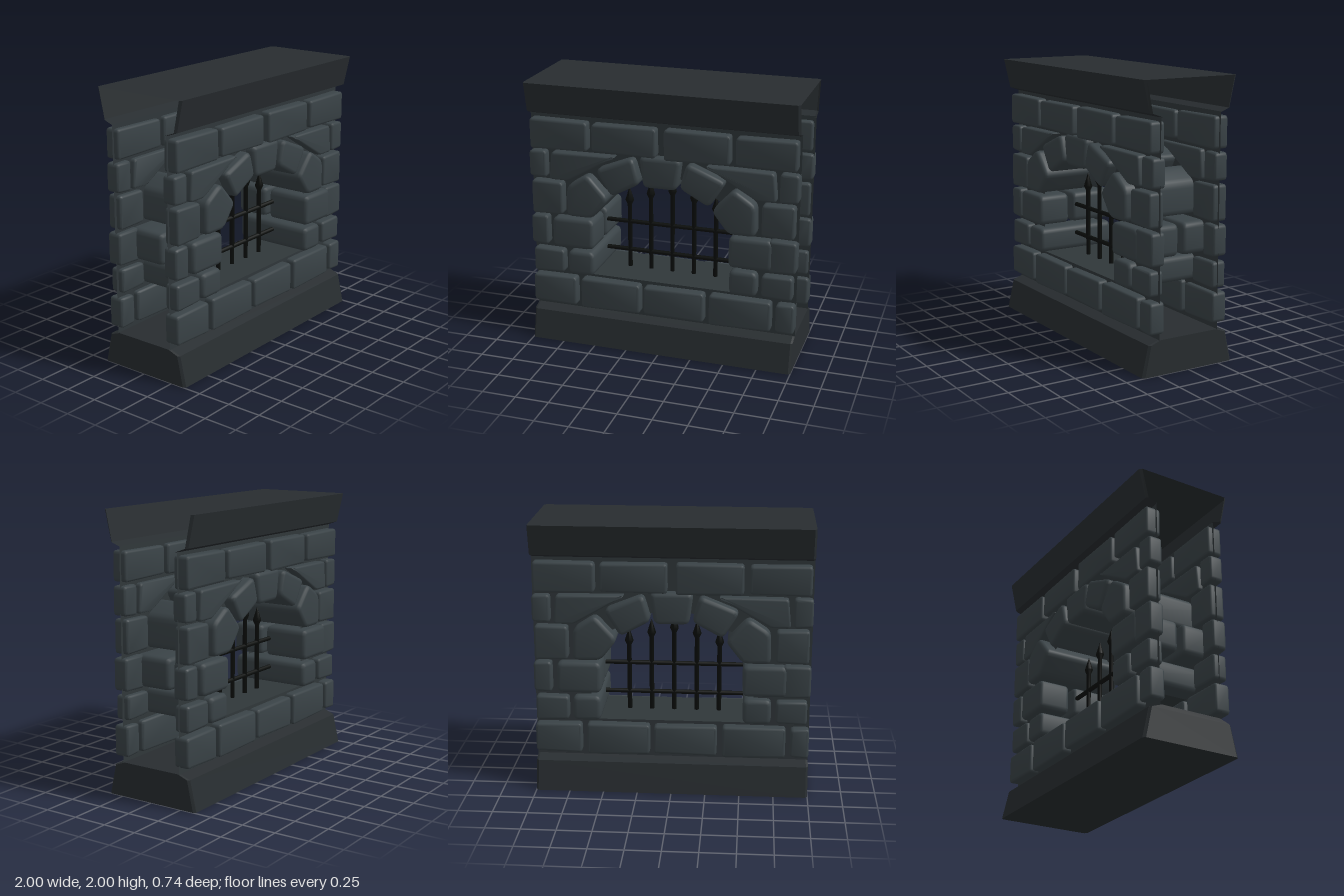
import * as THREE from 'three';
import { toCreasedNormals } from 'three/addons/utils/BufferGeometryUtils.js';

const stoneMat = new THREE.MeshStandardMaterial({ color: 0x3a4347 });
const mortarMat = new THREE.MeshStandardMaterial({ color: 0x30373a, side: THREE.DoubleSide });
const trimMat = new THREE.MeshStandardMaterial({ color: 0x282d30, side: THREE.DoubleSide });
const ironMat = new THREE.MeshStandardMaterial({ color: 0x0a0d0b });

function add(parent, name, geometry, material) {
  const mesh = new THREE.Mesh(geometry, material);
  mesh.name = name;
  parent.add(mesh);
  return mesh;
}

// Outline with rounded corners through the given points (counter-clockwise)
function roundedShape(points, r) {
  const p = points.map(([x, y]) => new THREE.Vector2(x, y));
  const shape = new THREE.Shape();
  p.forEach((c, i) => {
    const prev = p[(i + p.length - 1) % p.length], next = p[(i + 1) % p.length];
    const a = c.clone().add(prev.clone().sub(c).setLength(r));
    const b = c.clone().add(next.clone().sub(c).setLength(r));
    if (i === 0) shape.moveTo(a.x, a.y); else shape.lineTo(a.x, a.y);
    shape.quadraticCurveTo(c.x, c.y, b.x, b.y);
  });
  shape.closePath();
  return shape;
}

// Stone block: rounded outline extruded from z0 to z1 with soft edges
function stone(parent, name, points, z0, z1, bevel = 0.022) {
  const geometry = new THREE.ExtrudeGeometry(roundedShape(points, bevel * 1.5), {
    depth: z1 - z0 - 2 * bevel, curveSegments: 3,
    bevelThickness: bevel, bevelSize: bevel, bevelOffset: -bevel, bevelSegments: 3,
  });
  geometry.translate(0, 0, z0 + bevel);
  return add(parent, name, toCreasedNormals(geometry, 0.9), stoneMat);
}

const mirror = (pts) => pts.map(([x, y]) => [-x, y]).reverse();
const rect = (x0, x1, y0, y1) => [[x0, y0], [x1, y0], [x1, y1], [x0, y1]];

// Courses of bricks: bottom, top, front z, [left, right] spans
const courses = [
  [1.51, 1.725, 0.315, [[-0.985, -0.545], [-0.51, -0.03], [0.03, 0.51], [0.55, 0.985]]],
  [1.28, 1.485, 0.305, [[-1, -0.87], [0.865, 1]]],
  [1.01, 1.255, 0.315, [[-0.985, -0.745], [0.745, 0.98]]],
  [0.755, 0.985, 0.31, [[-1, -0.87], [0.8, 1]]],
  [0.545, 0.72, 0.31, [[-0.99, -0.75], [0.755, 0.98]]],
  [0.285, 0.51, 0.315, [[-1, -0.66], [-0.62, -0.16], [-0.13, 0.33], [0.37, 0.83], [0.865, 1]]],
];

// One face of the wall: mortar panel with arched opening, bricks, split jamb stones
function wallFace(name) {
  const face = new THREE.Group();
  face.name = name;

  const panel = new THREE.Shape(rect(-1, 1, 0.245, 1.76).map(([x, y]) => new THREE.Vector2(x, y)));
  const side = [[0.6, 0.53], [0.58, 1.0], [0.49, 1.18], [0.28, 1.31], [0.08, 1.37]];
  panel.holes.push(new THREE.Path([...side, ...mirror(side)].map(([x, y]) => new THREE.Vector2(x, y))));
  add(face, 'mortarPanel', new THREE.ShapeGeometry(panel), mortarMat).position.z = 0.24;

  courses.forEach(([y0, y1, z, spans], row) => spans.forEach(([x0, x1], i) => {
    const s = (row + i) % 2 ? 0.008 : -0.008; // slightly skewed bricks
    stone(face, 'brick', [[x0, y0 + s], [x1, y0], [x1, y1], [x0, y1 - s / 2]], 0.2, z, 0.017);
  }));

  // Wedge bricks above the arch shoulders
  const wedge = [[0.7, 1.275], [0.845, 1.275], [0.825, 1.485], [0.33, 1.49]];
  stone(face, 'wedgeBrick', wedge, 0.2, 0.31, 0.015);
  stone(face, 'wedgeBrick', mirror(wedge), 0.2, 0.31, 0.015);

  // Long jamb stone on one side, short one on the other
  stone(face, 'longJambStone', rect(0.51, 0.83, 0.755, 0.985), -0.03, 0.32, 0.028);
  stone(face, 'shortJambStone', rect(-0.83, -0.51, 0.755, 0.985), 0.07, 0.32, 0.028);
  return face;
}

// Flared trim running along x, chamfered at both ends; flip turns it into the base
function trim(name, flip) {
  const profile = [[0.24, 1.752], [0.32, 1.78], [0.37, 2], [-0.37, 2], [-0.32, 1.78], [-0.24, 1.752]];
  const sections = [[-1, 0.95], [-0.985, 1], [0.985, 1], [1, 0.95]];
  const at = ([x, k], [z, y]) => [x, flip ? 2 - y : y, z * k];
  const pos = [];
  const quad = (a, b, c, d) => (flip
    ? pos.push(...a, ...c, ...b, ...a, ...d, ...c)
    : pos.push(...a, ...b, ...c, ...a, ...c, ...d));
  const n = profile.length;
  for (let s = 0; s < 3; s++) {
    for (let i = 0; i < (flip ? n : n - 1); i++) {
      const p = profile[i], q = profile[(i + 1) % n];
      quad(at(sections[s], p), at(sections[s + 1], p), at(sections[s + 1], q), at(sections[s], q));
    }
  }
  // The base has closed ends
  if (flip) {
    const [l, r] = [sections[0], sections[3]];
    for (let i = 0; i < 2; i++) {
      const c = [profile[i], profile[i + 1], profile[n - 2 - i], profile[n - 1 - i]];
      quad(...c.map((p) => at(r, p)));
      quad(...c.map((p) => at(l, p)).reverse());
    }
  }
  const geometry = new THREE.BufferGeometry();
  geometry.setAttribute('position', new THREE.Float32BufferAttribute(pos, 3));
  geometry.computeVertexNormals();
  return new THREE.Mesh(geometry, trimMat).add().copy(Object.assign(new THREE.Mesh(geometry, trimMat), { name }));
}

// Iron grille: spear-topped uprights and two crossbars
function grille() {
  const group = new THREE.Group();
  group.name = 'grille';
  [[0, 1.275], [0.168, 1.235], [-0.168, 1.235], [0.335, 1.17], [-0.335, 1.17]].forEach(([x, tip]) => {
    const profile = [[0, 0.51], [0.017, 0.51], [0.017, tip - 0.14], [0.033, tip - 0.105], [0, tip]];
    const geometry = new THREE.LatheGeometry(profile.map(([r, y]) => new THREE.Vector2(r, y)), 8);
    add(group, 'spearBar', toCreasedNormals(geometry, 0.9), ironMat).position.x = x;
  });
  [0.667, 0.893].forEach((y) => {
    const bar = add(group, 'crossbar', new THREE.CylinderGeometry(0.017, 0.017, 1.16, 8), ironMat);
    bar.rotation.z = Math.PI / 2;
    bar.position.y = y;
  });
  return group;
}

export function createModel() {
  const model = new THREE.Group();
  model.name = 'windowWall';
  model.add(trim('cap', false), trim('base', true));

  const back = wallFace('backFace');
  back.rotation.y = Math.PI;
  model.add(wallFace('frontFace'), back);

  // Through stones spanning the wall: arch ring and lower jambs
  const keystone = [[-0.125, 1.285], [0.125, 1.285], [0.155, 1.515], [-0.155, 1.515]];
  stone(model, 'keystone', keystone, -0.315, 0.315, 0.028);
  const through = [
    ['upperArchStone', [[0.365, 1.19], [0.485, 1.385], [0.2, 1.5], [0.145, 1.31]], 0.325],
    ['lowerArchStone', [[0.51, 1.01], [0.71, 1.01], [0.705, 1.24], [0.545, 1.345], [0.385, 1.17]], 0.335],
    ['lowerJambStone', rect(0.515, 0.72, 0.54, 0.725), 0.31],
  ];
  through.forEach(([name, pts, z]) => {
    stone(model, name, pts, -z, z, 0.028);
    stone(model, name, mirror(pts), -z, z, 0.028);
  });

  // Window sill
  const sill = add(model, 'sill', new THREE.PlaneGeometry(1.2, 0.48), mortarMat);
  sill.rotation.x = -Math.PI / 2;
  sill.position.y = 0.53;

  model.add(grille());
  return model;
}
